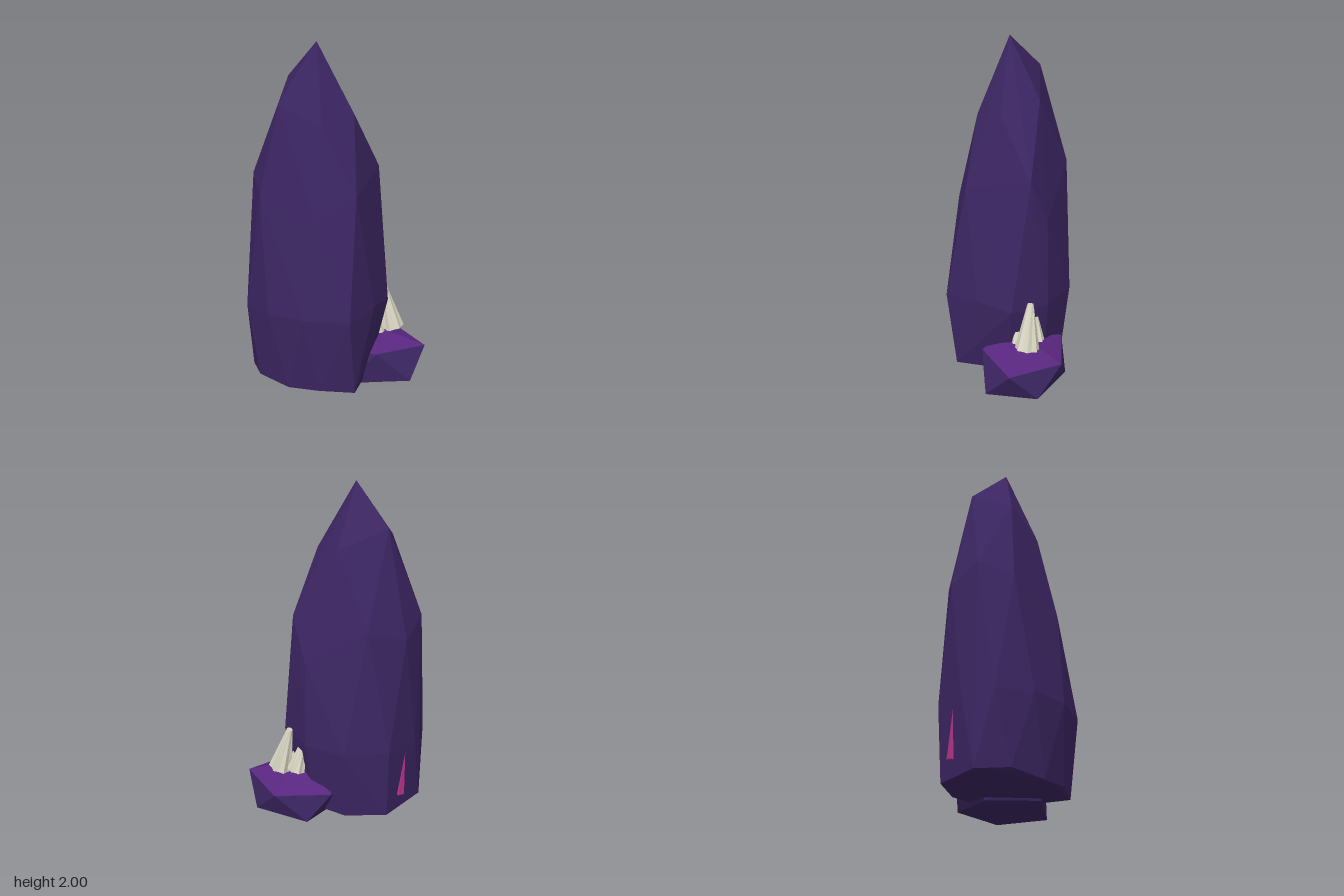
import * as THREE from 'three';
import { ConvexGeometry } from 'three/addons/geometries/ConvexGeometry.js';

const material = (name, color) => {
  const m = new THREE.MeshStandardMaterial({ color });
  m.name = name;
  return m;
};
const vec = (p) => new THREE.Vector3(...p);

export function createModel() {
  const group = new THREE.Group();
  const indigo = material('indigoStone', 0x3c2663);
  const violet = material('violetTop', 0x58277f);
  const bone = material('boneShell', 0xd9d6c2);
  const pink = material('pinkCrystal', 0xb8348c);

  const add = (name, geometry, mat) => {
    const mesh = new THREE.Mesh(geometry, mat);
    mesh.name = name;
    group.add(mesh);
    return mesh;
  };

  // Tall faceted spire: hull of irregular rings, from tip to base
  const spire = [
    [-0.11, 2, 0.03],
    // shoulder
    [-0.31, 1.78, -0.1], [-0.04, 1.66, -0.16], [0.105, 1.6, 0.03], [-0.04, 1.55, 0.2], [-0.3, 1.66, 0.15],
    // upper body
    [-0.49, 1.23, 0.03], [-0.43, 1.15, -0.16], [-0.23, 1.24, -0.28], [0.13, 1.0, -0.25],
    [0.21, 1.26, -0.17], [0.16, 1.17, 0.22], [-0.05, 1.03, 0.32], [-0.4, 1.15, 0.21],
    // widest ring
    [-0.51, 0.45, 0.145], [-0.485, 0.45, -0.06], [-0.36, 0.47, -0.26], [-0.11, 0.47, -0.338], [0.13, 0.47, -0.26],
    [0.29, 0.47, -0.08], [0.25, 0.5, 0.135], [0.155, 0.47, 0.35], [-0.11, 0.47, 0.375], [-0.34, 0.47, 0.3],
    // base
    [-0.51, 0.03, 0.03], [-0.42, 0.04, 0.2], [-0.22, 0.02, 0.3], [-0.03, 0.03, 0.33], [0.17, 0.02, 0.29],
    [0.19, 0.03, -0.03], [0.08, 0.03, -0.22], [-0.11, 0.03, -0.29], [-0.35, 0.03, -0.24],
  ];
  add('spire', new ConvexGeometry(spire.map(vec)), indigo);

  // Low side rock: a cap of five faces over a zigzag band and a flat bottom
  const peak = [0.2, 0.28, -0.12], floor = [0.2, 0, -0.12];
  const upper = [[0.51, 0.18, -0.12], [0.295, 0.18, -0.38], [-0.03, 0.18, -0.31], [-0.02, 0.18, 0.04], [0.26, 0.19, 0.105]];
  const lower = [[0.43, 0.01, -0.27], [0.105, 0.01, -0.365], [-0.04, 0.01, -0.12], [0.09, 0.01, 0.15], [0.45, 0.01, 0.035]];
  const cap = [], sides = [];
  for (let i = 0; i < 5; i++) {
    const j = (i + 1) % 5;
    cap.push(peak, upper[i], upper[j]);
    sides.push(upper[i], lower[i], upper[j], upper[j], lower[i], lower[j], floor, lower[j], lower[i]);
  }
  const facets = (points) => {
    const g = new THREE.BufferGeometry().setFromPoints(points.map(vec));
    g.computeVertexNormals();
    return g;
  };
  add('rockCap', facets(cap), violet);
  add('rockSides', facets(sides), indigo);

  // Fluted, tapering shells leaning off the rock
  const shell = (name, from, to, rBottom, rTop) => {
    const a = vec(from), b = vec(to), height = a.distanceTo(b);
    let g = new THREE.CylinderGeometry(rTop, rBottom, height, 14);
    const pos = g.attributes.position;
    for (let i = 0; i < pos.count; i++) {
      const angle = Math.atan2(pos.getX(i), pos.getZ(i));
      const s = pos.getY(i) < 0 ? 0.91 + 0.09 * Math.cos(angle * 7) : 1;
      pos.setX(i, pos.getX(i) * s);
      pos.setZ(i, pos.getZ(i) * s);
    }
    g = g.toNonIndexed();
    g.computeVertexNormals();
    const mesh = add(name, g, bone);
    mesh.position.copy(a).lerp(b, 0.5);
    mesh.quaternion.setFromUnitVectors(new THREE.Vector3(0, 1, 0), b.sub(a).normalize());
  };
  shell('tallShell', [0.3, 0.255, -0.175], [0.24, 0.522, -0.18], 0.073, 0.018);
  shell('shortShell', [0.2, 0.26, -0.2], [0.17, 0.4, -0.185], 0.055, 0.025);
  shell('tinyShell', [0.24, 0.25, -0.1], [0.225, 0.32, -0.095], 0.03, 0.015);

  // Small pink crystal showing through the back of the spire
  const shard = add('pinkShard', new THREE.ConeGeometry(0.03, 0.28, 4).toNonIndexed(), pink);
  shard.geometry.computeVertexNormals();
  shard.position.set(-0.425, 0.27, -0.138);
  shard.rotation.set(0.06, 0, 0.1);

  return group;
}
